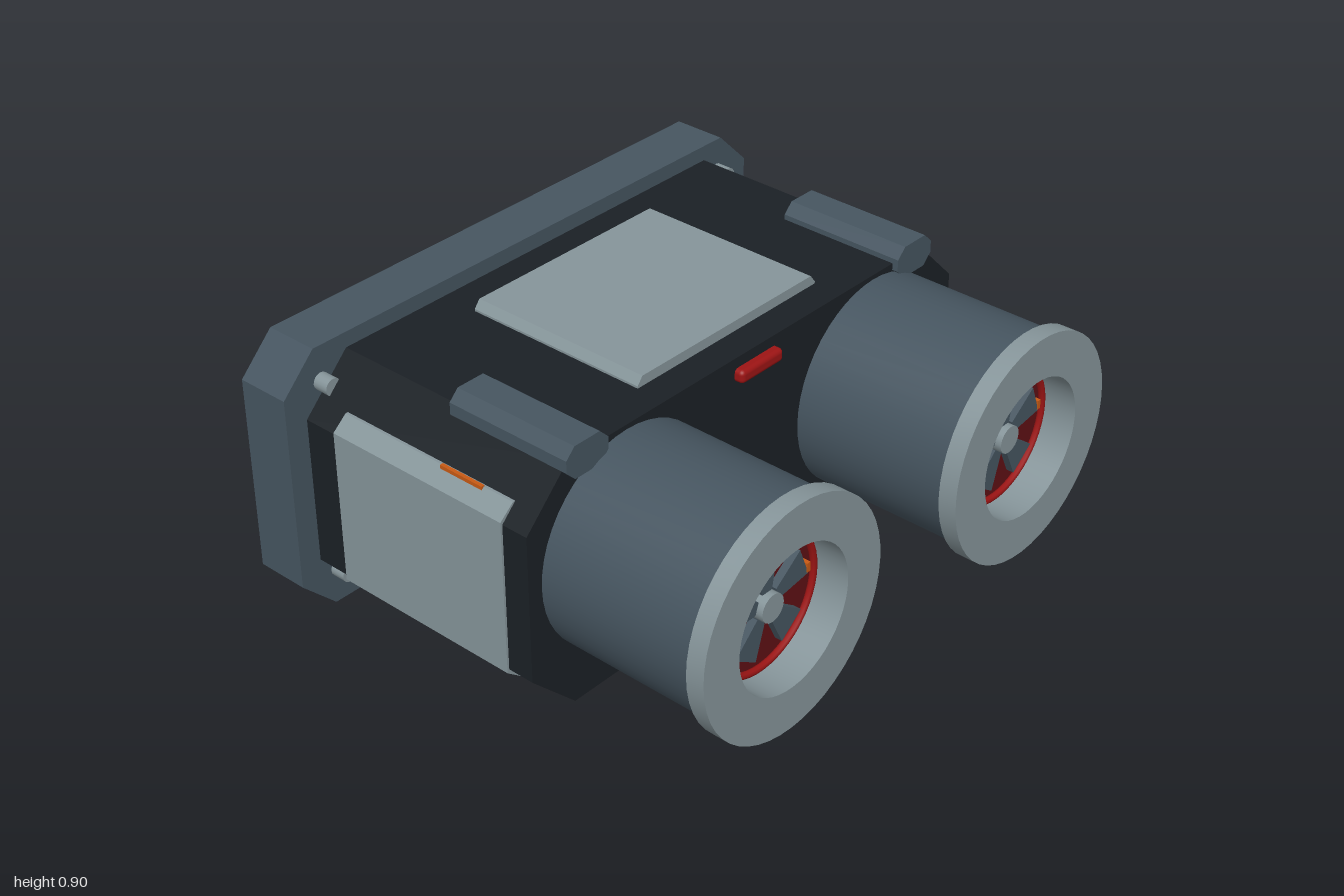
import * as THREE from 'three';
import { toCreasedNormals } from 'three/addons/utils/BufferGeometryUtils.js';
import { RoundedBoxGeometry } from 'three/addons/geometries/RoundedBoxGeometry.js';

const material = (color) => new THREE.MeshStandardMaterial({ color });
const black = material(0x1b2025);
const slate = material(0x465560);
const grey = material(0x86959a);
const red = material(0x9c1414);
const darkRed = material(0x5e1014);
const orange = material(0xc85a14);

function add(parent, name, geometry, mat, x = 0, y = 0, z = 0) {
  const mesh = new THREE.Mesh(geometry, mat);
  mesh.name = name;
  mesh.position.set(x, y, z);
  parent.add(mesh);
  return mesh;
}

// Extrudes an outline in the xy plane from z0 to z1
function prism(points, z0, z1) {
  const shape = new THREE.Shape(points.map(([x, y]) => new THREE.Vector2(x, y)));
  const geometry = new THREE.ExtrudeGeometry(shape, { depth: z1 - z0, bevelEnabled: false });
  return geometry.translate(0, 0, z0);
}

// Rectangle with cut corners
function cutRect(hw, y0, y1, cut) {
  return [
    [-hw + cut, y0], [hw - cut, y0], [hw, y0 + cut], [hw, y1 - cut],
    [hw - cut, y1], [-hw + cut, y1], [-hw, y1 - cut], [-hw, y0 + cut],
  ];
}

// Turned part along z from [radius, z] points, with sharp edges kept
function turned(points) {
  const geometry = new THREE.LatheGeometry(points.map(([r, z]) => new THREE.Vector2(r, z)), 48);
  return toCreasedNormals(geometry.rotateX(Math.PI / 2), 0.6);
}

function createLens() {
  const lens = new THREE.Group();
  lens.name = 'lens';
  add(lens, 'lensBarrel', turned([[0.345, 0.25], [0.345, 0.82]]), slate);
  add(lens, 'lensRim', turned([
    [0.34, 0.81], [0.37, 0.81], [0.37, 0.87], [0.228, 0.87], [0.228, 0.74],
  ]), grey);

  // Recessed fan
  add(lens, 'fanDisc', new THREE.CircleGeometry(0.23, 48), darkRed, 0, 0, 0.75);
  add(lens, 'fanRing', new THREE.TorusGeometry(0.218, 0.011, 8, 48), red, 0, 0, 0.757);
  const hub = add(lens, 'fanHub', new THREE.CylinderGeometry(0.045, 0.045, 0.04, 16), grey, 0, 0, 0.775);
  hub.rotation.x = Math.PI / 2;
  const bladeShape = prism([[-0.022, 0.045], [0.018, 0.045], [0.04, 0.168], [-0.062, 0.162]], 0.75, 0.775);
  for (let i = 0; i < 5; i++) {
    add(lens, 'fanBlade', bladeShape, slate).rotation.z = (i * Math.PI * 2) / 5;
  }
  add(lens, 'indicator', new THREE.BoxGeometry(0.014, 0.03, 0.03), orange, 0.172, 0.033, 0.762);
  return lens;
}

export function createModel() {
  const model = new THREE.Group();
  model.name = 'device';

  // Body and back plate
  add(model, 'body', prism(cutRect(0.94, 0.035, 0.855, 0.165), -0.6, 0.27), black);
  add(model, 'backPlate', prism(cutRect(1, 0, 0.89, 0.12), -0.8, -0.62), slate);
  const ring = add(model, 'backRing', turned([
    [0.195, 0], [0.195, 0.07], [0.11, 0.07], [0.11, 0],
  ]), grey, 0, 0.445, -0.8);
  ring.rotation.y = Math.PI;

  // Top panel with sloping edges, and thin bottom panel
  add(model, 'topPanel', prism([
    [-0.39, 0.84], [0.39, 0.84], [0.39, 0.862], [0.37, 0.888], [-0.37, 0.888], [-0.39, 0.862],
  ], -0.47, 0.17), grey);
  add(model, 'bottomPanel', new THREE.BoxGeometry(1.06, 0.03, 0.6), grey, 0, 0.037, -0.11);

  for (const side of [-1, 1]) {
    const lens = createLens();
    lens.position.set(side * 0.545, 0.495, 0);
    model.add(lens);

    // Side panel wrapping onto the body's cut corners
    const panel = add(model, 'sidePanel', prism([
      [0.86, 0.15], [0.897, 0.15], [0.947, 0.19], [0.947, 0.7], [0.897, 0.742], [0.86, 0.742],
    ], -0.18, 0.48), grey);
    panel.rotation.y = side < 0 ? Math.PI : 0;
    panel.position.z = side < 0 ? 0.3 : 0;
    // The panel runs from z -0.48 to 0.18 on both sides
    panel.position.z = side < 0 ? 0 : -0.3;

    add(model, 'sideMarker', new THREE.BoxGeometry(0.012, 0.02, 0.16), orange, side * 0.9, 0.736, -0.01);
    add(model, 'topRail', prism(cutRect(0.082, 0.8, 0.905, 0.033), -0.15, 0.29), slate, side * 0.72);

    // Spacers between body and back plate
    for (const y of [0.12, 0.775]) {
      const pin = add(model, 'spacer', new THREE.CylinderGeometry(0.028, 0.028, 0.08, 16), grey, side * 0.86, y, -0.607);
      pin.rotation.x = Math.PI / 2;
    }
  }

  // Front light and vent
  add(model, 'frontLight', new RoundedBoxGeometry(0.185, 0.044, 0.06, 3, 0.015), red, 0, 0.798, 0.27);
  add(model, 'ventHousing', prism(cutRect(0.13, 0.08, 0.19, 0.03), 0.26, 0.34), black);
  for (let i = 0; i < 4; i++) {
    add(model, 'ventSlat', new THREE.BoxGeometry(0.145, 0.014, 0.03), black, 0, 0.1 + i * 0.023, 0.345);
  }
  return model;
}
